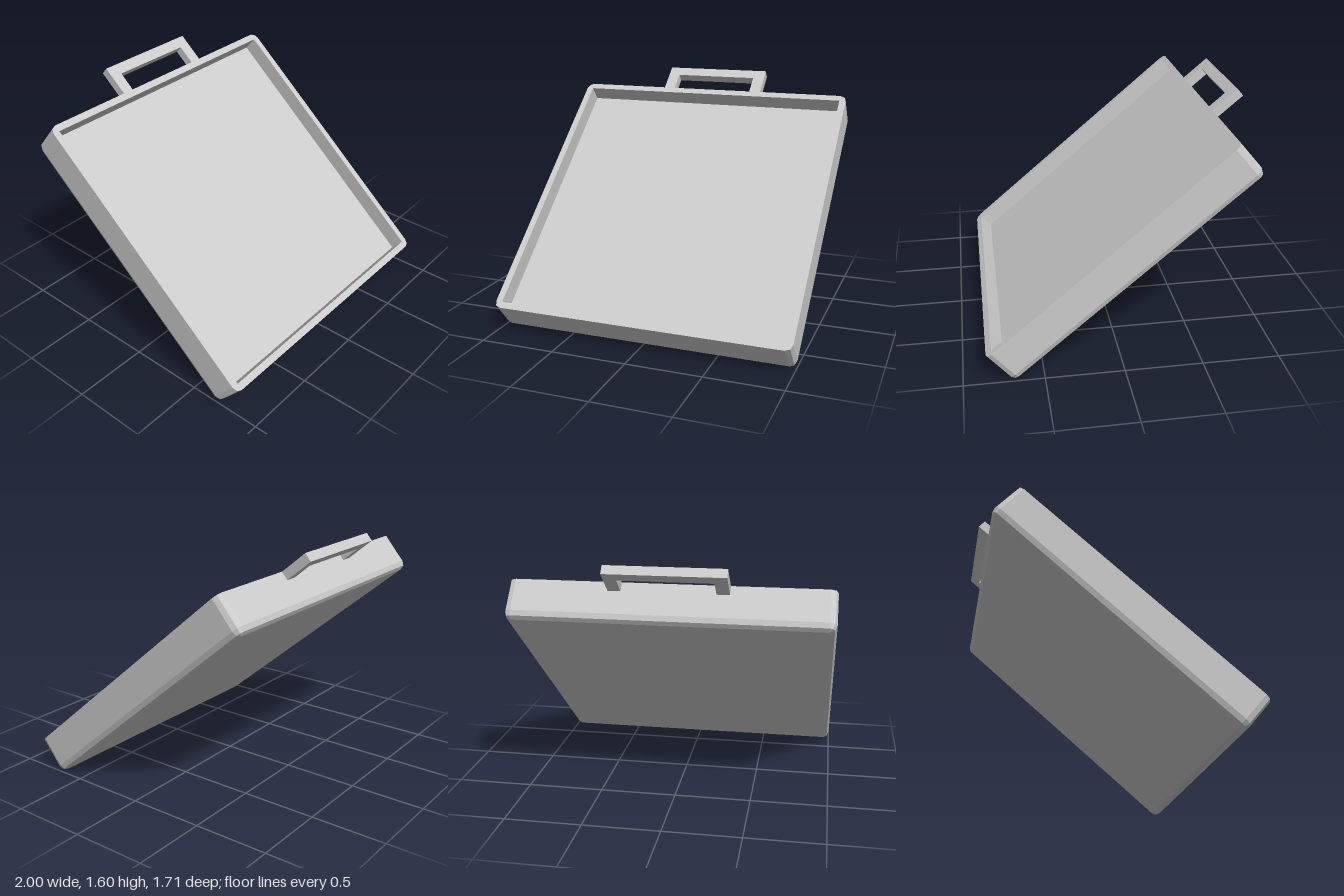
import * as THREE from 'three';

const W = 1, H = 0.9935;   // half width and half length of the tray
const R = 0.045;           // edge radius and wall thickness
const DEPTH = 0.257, RECESS = 0.114;
const SEG = 2;             // facets per rounded edge

// rounded rectangle ring, shrunk by inset, at height z
function ring(inset, z) {
  const pts = [], r = R - inset;
  [[1, 1], [-1, 1], [-1, -1], [1, -1]].forEach(([sx, sy], q) => {
    for (let i = 0; i <= SEG; i++) {
      const a = (q + i / SEG) * Math.PI / 2;
      pts.push(new THREE.Vector3(
        sx * (W - R) + r * Math.cos(a), sy * (H - R) + r * Math.sin(a), z));
    }
  });
  return pts;
}

// skin a list of rings, closing both ends with a fan
function loft(rings) {
  const pos = [];
  const tri = (a, b, c) => {
    const area = b.clone().sub(a).cross(c.clone().sub(a)).length();
    if (area > 1e-7) for (const p of [a, b, c]) pos.push(p.x, p.y, p.z);
  };
  const n = rings[0].length;
  const first = rings[0], last = rings[rings.length - 1];
  const c0 = new THREE.Vector3(0, 0, first[0].z), c1 = new THREE.Vector3(0, 0, last[0].z);
  for (let i = 0; i < n; i++) {
    const j = (i + 1) % n;
    tri(c0, first[i], first[j]);
    tri(c1, last[j], last[i]);
    for (let k = 0; k < rings.length - 1; k++) {
      const a = rings[k], b = rings[k + 1];
      tri(a[i], b[i], b[j]);
      tri(a[i], b[j], a[j]);
    }
  }
  const geo = new THREE.BufferGeometry();
  geo.setAttribute('position', new THREE.Float32BufferAttribute(pos, 3));
  geo.computeVertexNormals();
  return geo;
}

export function createModel() {
  const model = new THREE.Group();
  const material = new THREE.MeshStandardMaterial({ color: 0xcccccc, flatShading: true });

  // tilted frame: local y runs up the slope, local z faces out of the tray
  const board = new THREE.Group();
  board.name = 'tiltedTray';
  board.position.set(0, 0.8225, 0.0975);
  board.rotation.x = -Math.atan2(1.515, 1.285);
  model.add(board);

  // tray: recessed floor, inner wall, rim, outer wall, rounded back edge
  const rings = [ring(R, -RECESS), ring(R, 0), ring(0, 0)];
  for (let i = 0; i <= SEG; i++) {
    const a = i / SEG * Math.PI / 2;
    rings.push(ring(R * (1 - Math.cos(a)), -DEPTH + R * (1 - Math.sin(a))));
  }
  const tray = new THREE.Mesh(loft(rings), material);
  tray.name = 'tray';
  board.add(tray);

  // carrying handle: squared arch flush with the rim
  const arch = new THREE.Shape([
    [-0.37, -0.01], [-0.29, -0.01], [-0.29, 0.133], [0.29, 0.133],
    [0.29, -0.01], [0.37, -0.01], [0.37, 0.206], [-0.37, 0.206],
  ].map(([x, y]) => new THREE.Vector2(x, y)));
  const handle = new THREE.Mesh(
    new THREE.ExtrudeGeometry(arch, { depth: 0.06, bevelEnabled: false }), material);
  handle.name = 'handle';
  handle.position.set(0, H, -0.0605);
  board.add(handle);

  // rings run from the back round to the floor; rest the lowest edge on the ground
  model.updateMatrixWorld(true);
  board.position.y -= new THREE.Box3().setFromObject(model, true).min.y;
  return model;
}
